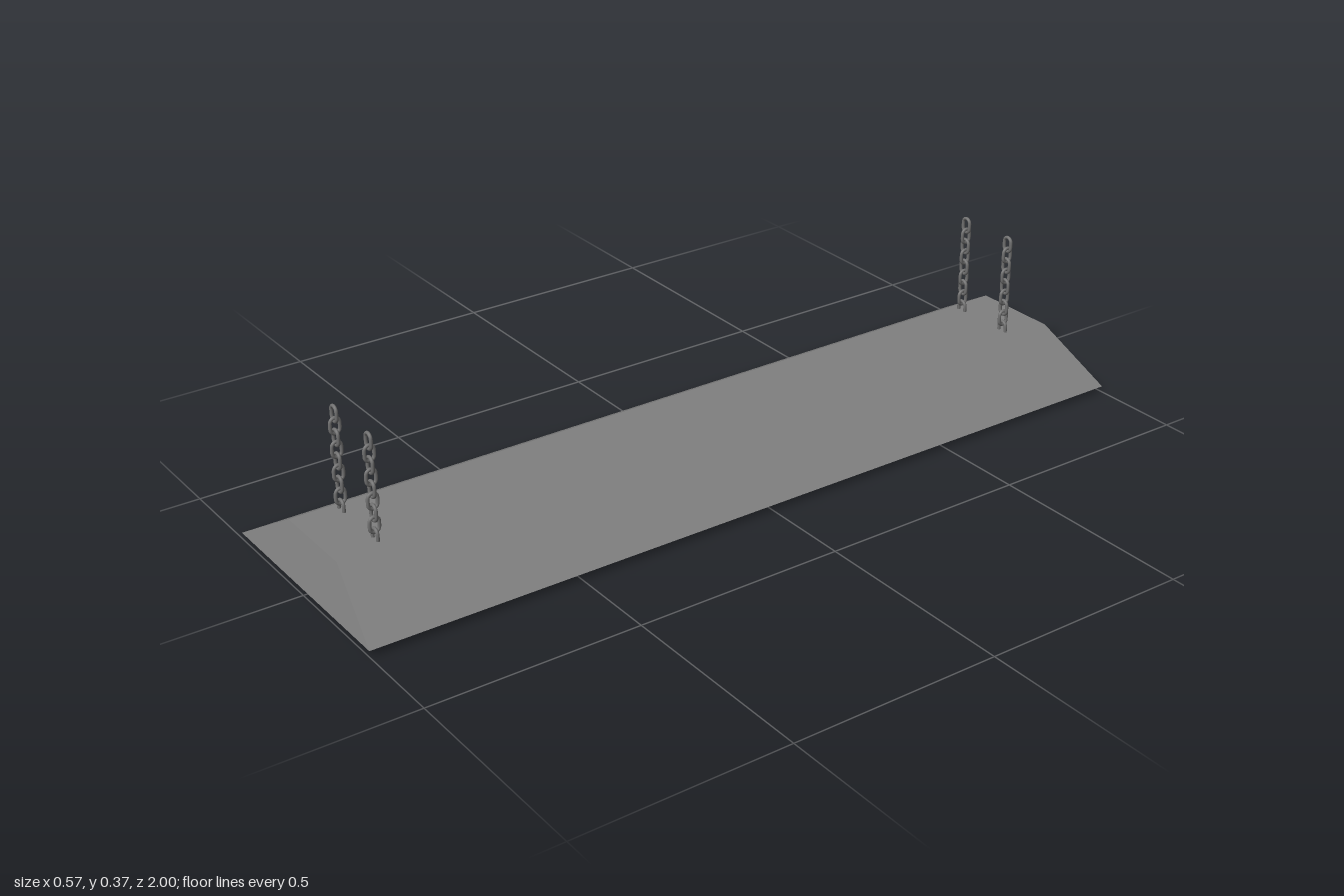
import * as THREE from 'three';

const housingGray = new THREE.MeshStandardMaterial({ color: 0x808080 });
housingGray.name = 'housingGray';
const undersideDark = new THREE.MeshStandardMaterial({ color: 0x3c362c });
undersideDark.name = 'undersideDark';
const lampCream = new THREE.MeshStandardMaterial({ color: 0xcfc6a6 });
lampCream.name = 'lampCream';
const chainGray = new THREE.MeshStandardMaterial({ color: 0x707070 });
chainGray.name = 'chainGray';

// Tapered hood: a box whose top is narrowed, with a dark underside
function makeHousing() {
  const bottom = 0.015, top = 0.121;
  const geo = new THREE.BoxGeometry(1, 1, 1);
  const p = geo.attributes.position;
  for (let i = 0; i < p.count; i++) {
    const up = p.getY(i) > 0;
    p.setXYZ(i, Math.sign(p.getX(i)) * (up ? 0.107 : 0.285), up ? top : bottom,
      Math.sign(p.getZ(i)) * (up ? 0.97 : 1));
  }
  geo.computeVertexNormals();
  const mesh = new THREE.Mesh(geo, [housingGray, housingGray, housingGray, undersideDark, housingGray, housingGray]);
  mesh.name = 'housing';
  return mesh;
}

// Shallow lamp tube, mostly sunk into the underside
function makeLamp(x) {
  const geo = new THREE.CylinderGeometry(1, 1, 1.9, 48);
  geo.rotateX(Math.PI / 2);
  geo.scale(0.052, 0.017, 1);
  const mesh = new THREE.Mesh(geo, lampCream);
  mesh.position.set(x, 0.0175, 0);
  mesh.name = 'lampTube';
  return mesh;
}

// Oval chain link: two half circles joined by straight sides
function makeLinkGeometry() {
  const r = 0.011, half = 0.00675, pts = [];
  for (const side of [0, 1]) {
    for (let i = 0; i <= 8; i++) {
      const a = Math.PI * (side + i / 8);
      pts.push(new THREE.Vector3(Math.cos(a) * r, Math.sin(a) * r + (side ? -half : half), 0));
    }
  }
  const path = new THREE.CatmullRomCurve3(pts, true);
  return new THREE.TubeGeometry(path, 40, 0.004, 10, true);
}

// Chain of links, each turned a quarter from the one before
function makeChain(linkGeo, x, z) {
  const chain = new THREE.Group();
  chain.name = 'chain';
  for (let i = 0; i < 9; i++) {
    const link = new THREE.Mesh(linkGeo, chainGray);
    link.name = 'chainLink';
    link.position.y = 0.3475 - i * 0.0275;
    link.rotation.y = i % 2 ? Math.PI / 2 : 0;
    chain.add(link);
  }
  chain.position.set(x, 0, z);
  return chain;
}

export function createModel() {
  const model = new THREE.Group();
  model.name = 'hangingLightFixture';
  model.add(makeHousing());
  for (let i = 0; i < 5; i++) model.add(makeLamp(-0.208 + i * 0.1));
  const linkGeo = makeLinkGeometry();
  for (const x of [-0.077, 0.07]) {
    for (const z of [-0.862, 0.862]) model.add(makeChain(linkGeo, x, z));
  }
  return model;
}
